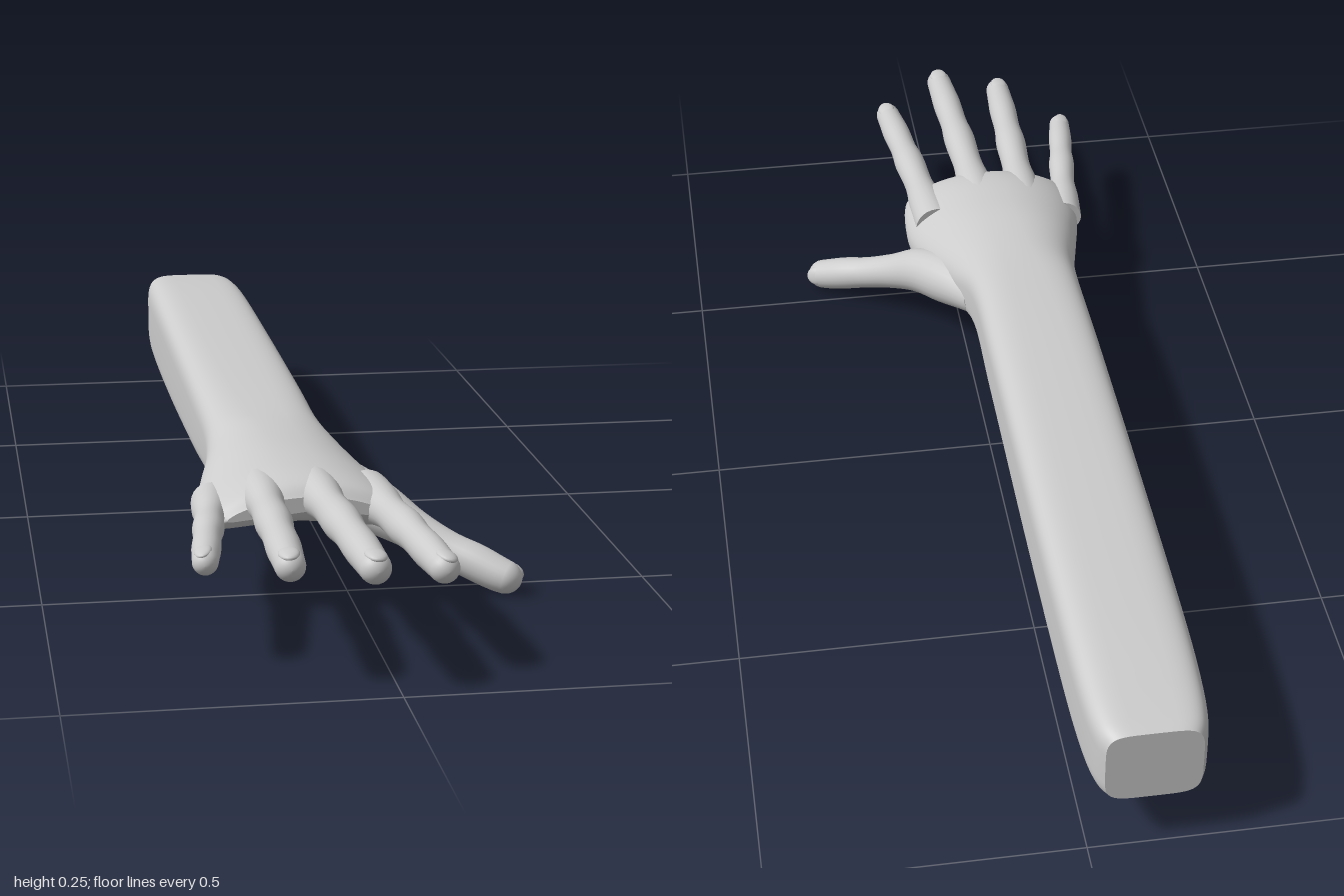
import * as THREE from 'three';

const material = new THREE.MeshStandardMaterial({ color: 0xcccccc, roughness: 0.8 });
const V = (x, y, z) => new THREE.Vector3(x, y, z);

// Smooth interpolation through the rows of a station table, t from 0 to 1
function sample(rows, t) {
  const f = t * (rows.length - 1);
  const i = Math.min(Math.floor(f), rows.length - 2);
  const u = f - i;
  const at = k => rows[Math.max(0, Math.min(rows.length - 1, k))];
  return rows[i].map((b, c) => {
    const a = at(i - 1)[c], d = at(i + 1)[c], e = at(i + 2)[c];
    return b + 0.5 * u * (d - a + u * (2 * a - 5 * b + 4 * d - e + u * (3 * (b - d) + e - a)));
  });
}

// Smooth skin over closed rings of points, with creased flat ends
function loft(name, rings) {
  const n = rings[0].length, pos = [], index = [];
  rings.forEach(r => r.forEach(p => pos.push(p.x, p.y, p.z)));
  for (let i = 0; i < rings.length - 1; i++) {
    for (let j = 0; j < n; j++) {
      const a = i * n + j, b = i * n + (j + 1) % n;
      index.push(a, b, a + n, b, b + n, a + n);
    }
  }
  [rings[0], rings[rings.length - 1]].forEach((ring, end) => {
    const c = ring.reduce((s, p) => s.add(p), V(0, 0, 0)).divideScalar(n);
    const base = pos.length / 3;
    pos.push(c.x, c.y, c.z);
    ring.forEach(p => pos.push(p.x, p.y, p.z));
    for (let j = 0; j < n; j++) {
      const a = base + 1 + j, b = base + 1 + (j + 1) % n;
      if (end) index.push(base, a, b);
      else index.push(base, b, a);
    }
  });
  const g = new THREE.BufferGeometry();
  g.setAttribute('position', new THREE.Float32BufferAttribute(pos, 3));
  g.setIndex(index);
  g.computeVertexNormals();
  const mesh = new THREE.Mesh(g, material);
  mesh.name = name;
  return mesh;
}

// Forearm and palm: z, centre x, half width, centre y, half height, squareness, arch, tilt
const ARM = [
  [-1.00, -0.100, 0.076, 0.167, 0.067, 5.0, 0.000, 0.000],
  [-0.97, -0.100, 0.088, 0.167, 0.074, 5.0, 0.000, 0.000],
  [-0.90, -0.100, 0.096, 0.167, 0.081, 5.0, 0.001, 0.000],
  [-0.75, -0.100, 0.100, 0.168, 0.086, 5.0, 0.002, 0.000],
  [-0.40, -0.100, 0.101, 0.168, 0.083, 5.0, 0.003, 0.000],
  [0.00, -0.100, 0.101, 0.172, 0.074, 4.5, 0.004, 0.000],
  [0.20, -0.099, 0.102, 0.175, 0.066, 3.8, 0.006, 0.000],
  [0.30, -0.090, 0.119, 0.171, 0.067, 3.0, 0.016, -0.005],
  [0.40, -0.083, 0.147, 0.169, 0.064, 2.6, 0.026, -0.012],
  [0.48, -0.080, 0.166, 0.173, 0.054, 2.5, 0.034, -0.009],
  [0.55, -0.080, 0.167, 0.181, 0.042, 2.4, 0.034, -0.004],
  [0.59, -0.080, 0.157, 0.183, 0.030, 2.3, 0.030, 0.000],
  [0.61, -0.080, 0.130, 0.183, 0.012, 2.2, 0.022, 0.000],
];

function armRings() {
  const rings = [], steps = 96, n = 56;
  for (let i = 0; i <= steps; i++) {
    const [z, xc, hw, yc, hh, e, arch, tilt] = sample(ARM, i / steps);
    const ring = [];
    for (let j = 0; j < n; j++) {
      const a = (j / n) * Math.PI * 2, c = Math.cos(a), s = Math.sin(a);
      const u = Math.sign(c) * Math.abs(c) ** (2 / e);
      const v = Math.sign(s) * Math.abs(s) ** (2 / e);
      ring.push(V(xc + hw * u, yc + hh * v - arch * u * u + tilt * u, z));
    }
    rings.push(ring);
  }
  return rings;
}

// A finger along x, y, z, radius stations; up is the direction the nail faces
function digit(name, rows, up, nailSize) {
  const group = new THREE.Group();
  group.name = name;
  const curve = new THREE.CatmullRomCurve3(rows.map(r => V(r[0], r[1], r[2])));
  const length = curve.getLength(), tipR = rows[rows.length - 1][3];
  const frame = t => {
    const dir = curve.getTangentAt(t);
    const side = up.clone().cross(dir).normalize();
    return { p: curve.getPointAt(t), dir, side, up: dir.clone().cross(side) };
  };
  // Even steps along the shaft, then closing steps around the tip
  const stops = [];
  for (let i = 0; i < 32; i++) stops.push((i / 32) * (length - tipR));
  for (let i = 0; i <= 10; i++) stops.push(length - tipR + tipR * Math.sin(i / 10 * Math.PI / 2));
  const rings = stops.map(s => {
    const t = Math.min(s / length, 1), f = frame(t);
    let r = sample(rows, curve.getUtoTmapping(t))[3];
    const d = Math.max(0, length - s) / tipR;
    if (d < 1) r *= Math.max(0.02, Math.sqrt(1 - (1 - d) ** 2));
    return Array.from({ length: 24 }, (_, j) => {
      const a = j / 24 * Math.PI * 2;
      return f.p.clone().addScaledVector(f.side, r * Math.cos(a)).addScaledVector(f.up, r * Math.sin(a));
    });
  });
  group.add(loft(name + 'Skin', rings));

  // Nail: a thin domed plate set into the tip
  const f = frame(1 - nailSize * 1.15 / length);
  const nail = new THREE.Mesh(new THREE.SphereGeometry(1, 20, 12), material);
  nail.name = name + 'Nail';
  nail.scale.set(tipR * 0.72, tipR * 0.34, nailSize);
  nail.quaternion.setFromRotationMatrix(new THREE.Matrix4().makeBasis(f.side, f.up, f.dir));
  nail.position.copy(f.p).addScaledVector(f.up, tipR * 0.76);
  group.add(nail);
  return group;
}

// Straight finger with slightly swollen joints, from knuckle to tip
function finger(name, base, tip, r, lean) {
  const swell = [[0, 1.45], [0.17, 1.3], [0.32, 1.03], [0.5, 1.1], [0.62, 0.96], [0.77, 1.0], [0.88, 0.92], [1, 0.84]];
  const rows = swell.map(([t, k]) => {
    const p = base.clone().lerp(tip, t);
    return [p.x, p.y + 0.006 * Math.sin(t * Math.PI), p.z, r * k];
  });
  return digit(name, rows, V(lean, 1, 0).normalize(), 0.025);
}

export function createModel() {
  const model = new THREE.Group();
  model.name = 'arm';
  model.add(loft('forearmAndPalm', armRings()));

  model.add(finger('littleFinger', V(-0.222, 0.158, 0.49), V(-0.272, 0.162, 0.84), 0.023, -0.25));
  model.add(finger('ringFinger', V(-0.146, 0.18, 0.49), V(-0.158, 0.187, 0.957), 0.027, -0.08));
  model.add(finger('middleFinger', V(-0.062, 0.182, 0.49), V(-0.038, 0.192, 1.0), 0.028, 0.08));
  model.add(finger('indexFinger', V(0.033, 0.163, 0.49), V(0.08, 0.164, 0.93), 0.027, 0.25));

  // Thumb with its broad base running into the palm
  model.add(digit('thumb', [
    [-0.02, 0.148, 0.26, 0.035],
    [0.025, 0.13, 0.35, 0.047],
    [0.07, 0.112, 0.415, 0.044],
    [0.12, 0.086, 0.458, 0.034],
    [0.17, 0.062, 0.495, 0.030],
    [0.21, 0.046, 0.522, 0.031],
    [0.245, 0.031, 0.546, 0.029],
    [0.277, 0.021, 0.566, 0.025],
  ], V(0.5, 0.3, -0.75), 0.022));
  return model;
}
